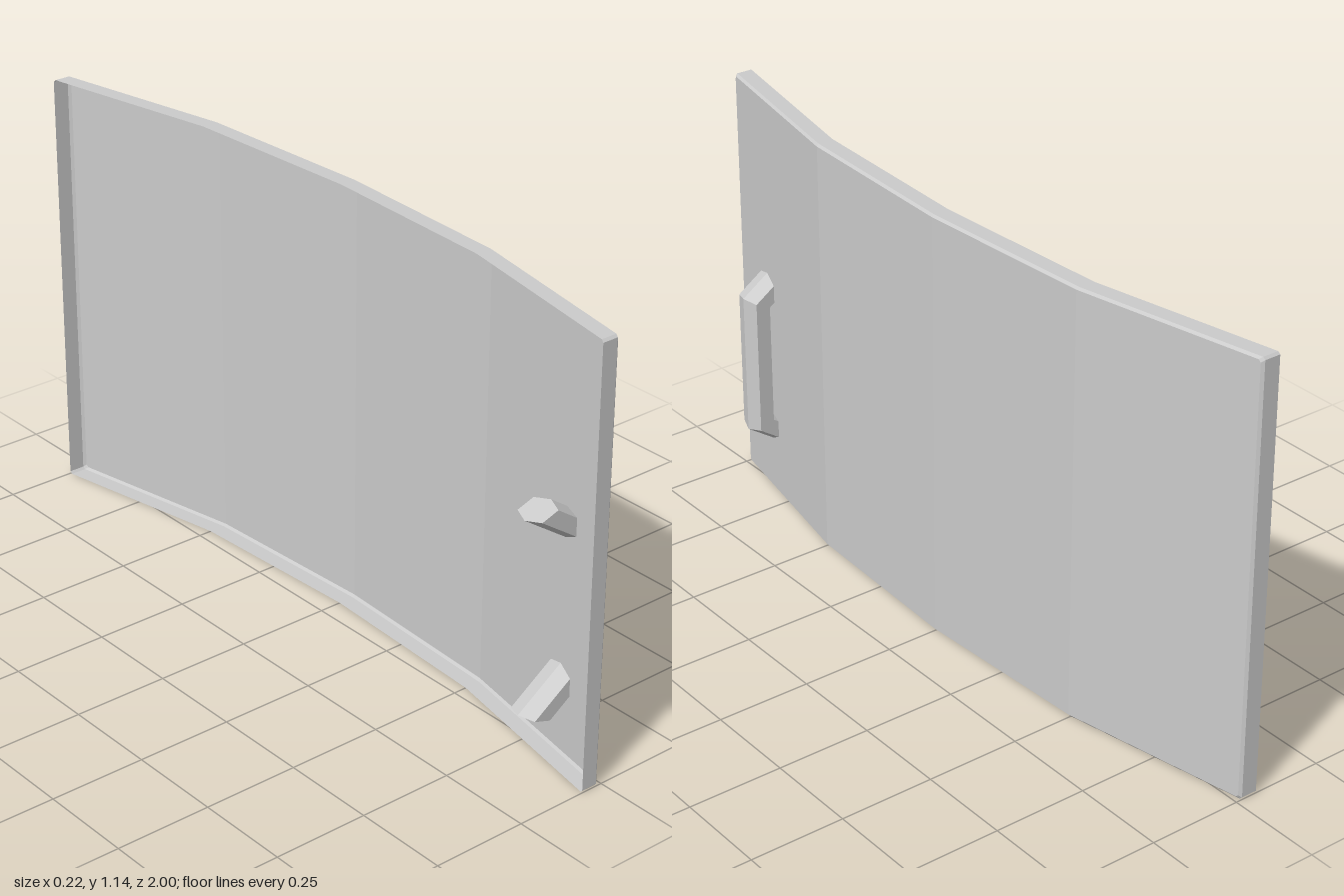
import * as THREE from 'three';

// Flat-shaded mesh from shared points and triangle indices
function makeMesh(name, positions, index) {
  const indexed = new THREE.BufferGeometry();
  indexed.setAttribute('position', new THREE.Float32BufferAttribute(positions, 3));
  indexed.setIndex(index);
  const geometry = indexed.toNonIndexed();
  geometry.computeVertexNormals();
  const material = new THREE.MeshStandardMaterial({
    color: 0xcccccc, flatShading: true, side: THREE.DoubleSide,
  });
  const mesh = new THREE.Mesh(geometry, material);
  mesh.name = name;
  return mesh;
}

// Joins consecutive closed rings of n points with quads
function joinRings(index, rings, n) {
  for (let i = 0; i < rings - 1; i++) {
    for (let j = 0; j < n; j++) {
      const a = i * n + j, b = i * n + (j + 1) % n;
      index.push(a, b, b + n, a, b + n, a + n);
    }
  }
}

// Bowed door skin: outer sheet with a chamfered rim turned back, open on the -x side
function makePanel() {
  const height = 1.143, depth = 0.049, chamfer = 0.006;
  const columns = [-1, -1 + chamfer, -0.5, 0, 0.5, 1 - chamfer, 1];
  const bow = (z) => {
    const d = Math.abs(z);
    return d < 0.5 ? 0.06 - 0.048 * d : 0.036 - 0.192 * (d - 0.5);
  };
  // outline in z and y with cut corners: along the bottom, then back along the top
  const bottom = columns.map((z) => [z, Math.abs(z) === 1 ? chamfer : 0]);
  const top = bottom.map(([z, y]) => [z, height - y]).reverse();
  const outline = [...bottom, ...top];
  const n = outline.length;

  // rings: open back edge, start of the chamfer, inset edge of the outer sheet
  const rings = [[0, 0], [depth - chamfer, 0], [depth, chamfer]];
  const positions = [], index = [];
  for (const [out, inset] of rings) {
    for (const [z, y] of outline) {
      const zIn = z * (1 - inset);
      const yIn = y + (y < height / 2 ? inset : -inset);
      positions.push(bow(zIn) + out, yIn, zIn);
    }
  }
  joinRings(index, rings.length, n);
  index.forEach((v, i) => {
    // turn the rim faces outward
    if (i % 3 === 1) [index[i], index[i + 1]] = [index[i + 1], v];
  });

  // outer sheet, one facet per column
  const start = (rings.length - 1) * n;
  for (let i = 0; i < columns.length - 1; i++) {
    const a = start + i, b = a + 1, d = start + n - 1 - i, c = d - 1;
    index.push(a, c, b, a, d, c);
  }
  return makeMesh('curvedDoorPanel', positions, index);
}

// Six-sided handle: mitred bar whose two slanted legs pass through the panel
function makeHandle() {
  const zMid = 0.833, yMid = 0.401, halfWidth = 0.04;
  // inner corner x, y and outer corner x, y; heights from the middle of the handle
  const upper = [
    [-0.11, 0.254, -0.03, 0.28],
    [0.029, 0.16, 0.098, 0.193],
  ];
  const lower = upper.map(([ix, iy, ox, oy]) => [ix, -iy, ox, -oy]).reverse();
  const stations = [...upper, ...lower];
  // cross-section: fraction from inner to outer corner, and side
  const section = [[1, 0], [0.8, 1], [0.2, 1], [0, 0], [0.2, -1], [0.8, -1]];
  const n = section.length, last = (stations.length - 1) * n;
  const positions = [], index = [];
  for (const [ix, iy, ox, oy] of stations) {
    for (const [t, side] of section) {
      positions.push(ix + (ox - ix) * t, yMid + iy + (oy - iy) * t, zMid + side * halfWidth);
    }
  }
  joinRings(index, stations.length, n);
  // end caps
  for (let j = 1; j < n - 1; j++) {
    index.push(0, j + 1, j, last, last + j, last + j + 1);
  }
  return makeMesh('handle', positions, index);
}

export function createModel() {
  const group = new THREE.Group();
  group.name = 'curvedDoor';
  group.add(makePanel(), makeHandle());
  return group;
}
